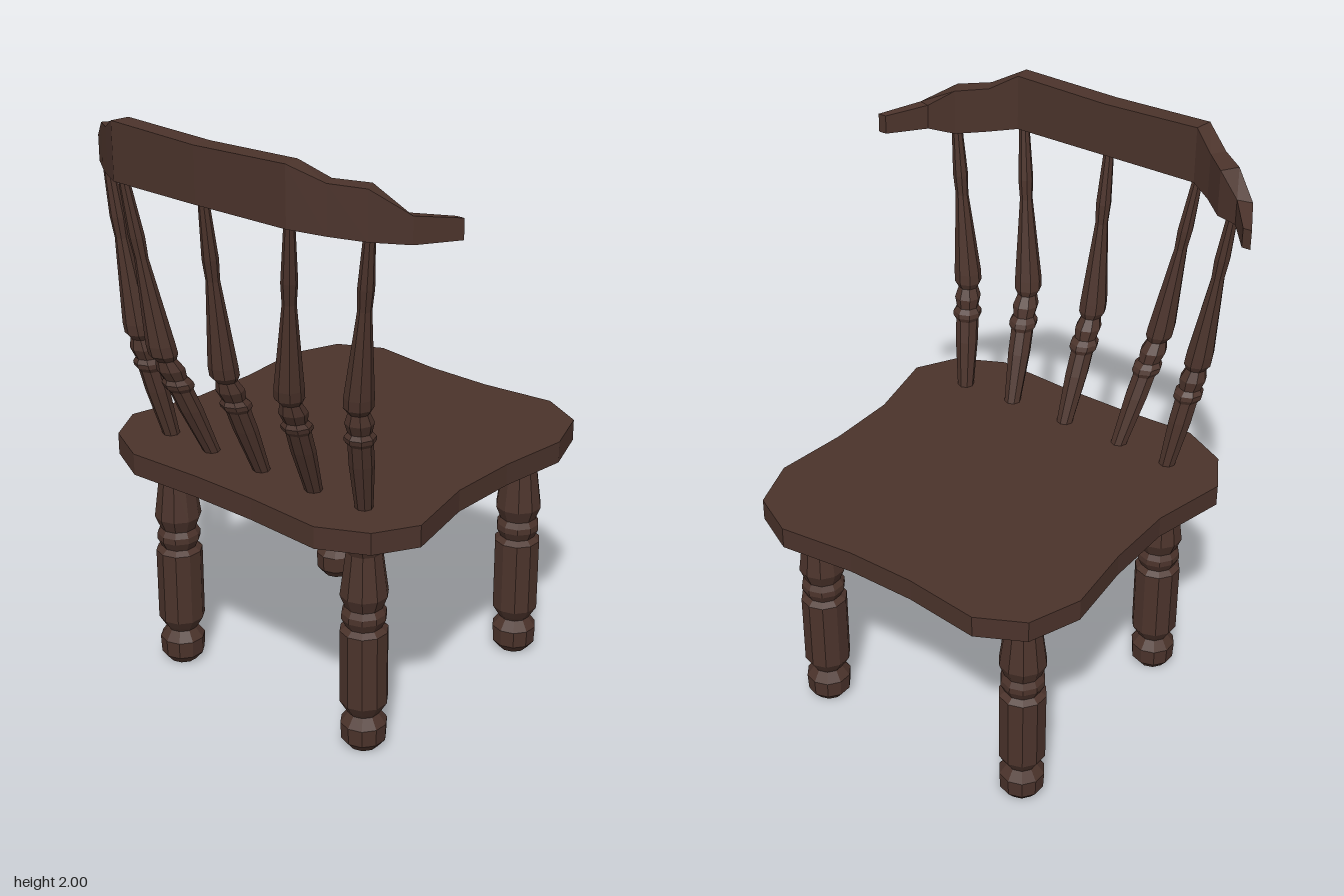
import * as THREE from 'three';

const wood = new THREE.MeshStandardMaterial({ color: 0x4b332b, flatShading: true });
wood.name = 'dark wood';
const AXIS = -0.025; // centre line of seat, legs and spindles

function part(name, geometry) {
  const mesh = new THREE.Mesh(geometry, wood);
  mesh.name = name;
  return mesh;
}

// Turned piece from [radius, y] pairs
const turned = (profile, sides) =>
  new THREE.LatheGeometry(profile.map(([r, y]) => new THREE.Vector2(r, y)), sides);

// Scalloped seat slab, half outline mirrored about the centre line
function seat() {
  const half = [[0.12, -0.63], [0.38, -0.66], [0.535, -0.58], [0.602, -0.40], [0.575, -0.145],
    [0.575, 0.105], [0.635, 0.37], [0.555, 0.51], [0.395, 0.59], [0.12, 0.575]];
  const outline = [...half, ...half.slice().reverse().map(([x, z]) => [-x, z])];
  const shape = new THREE.Shape(outline.map(([x, z]) => new THREE.Vector2(x + AXIS, z)));
  const geo = new THREE.ExtrudeGeometry(shape, { depth: 0.075, bevelEnabled: false });
  geo.rotateX(Math.PI / 2).translate(0, 0.865, 0);
  return part('seat', geo);
}

// Turned leg
const LEG = [[0, 0], [0.05, 0], [0.075, 0.03], [0.078, 0.09], [0.052, 0.125], [0.062, 0.14],
  [0.08, 0.17], [0.08, 0.43], [0.06, 0.445], [0.075, 0.475], [0.074, 0.495], [0.062, 0.515],
  [0.08, 0.56], [0.06, 0.71], [0.085, 0.77], [0.085, 0.795]];

// Turned back spindle
const SPINDLE = [[0.028, 0.85], [0.04, 1.03], [0.04, 1.105], [0.05, 1.12], [0.05, 1.135],
  [0.038, 1.15], [0.046, 1.185], [0.034, 1.22], [0.047, 1.24], [0.047, 1.275],
  [0.022, 1.56], [0.026, 1.63], [0.017, 1.82]];

// Spindle sheared from its foot to its head, with a bend above the bead
function spindle(x0, z0, x1, z1) {
  const geo = turned(SPINDLE, 8);
  const p = geo.attributes.position;
  for (let i = 0; i < p.count; i++) {
    const t = (p.getY(i) - 0.865) / 0.935;
    const bend = t < 0.41 ? t * 1.75 : 0.7175 + (t - 0.41) * 0.479;
    p.setX(i, p.getX(i) + x0 + (x1 - x0) * t);
    p.setZ(i, p.getZ(i) + z0 + (z1 - z0) * bend);
  }
  geo.computeVertexNormals();
  return part('backSpindle', geo);
}

// Curved top rail: outer x, z, inner x, z, bottom y, top y
function topRail() {
  const sections = [
    [-0.72, 0.338, -0.69, 0.338, 1.785, 1.85],
    [-0.65, 0.466, -0.60, 0.455, 1.785, 1.87],
    [-0.56, 0.53, -0.525, 0.475, 1.785, 1.94],
    [-0.48, 0.585, -0.45, 0.54, 1.795, 1.95],
    [-0.38, 0.65, -0.37, 0.587, 1.81, 2.0],
    [-0.025, 0.655, -0.025, 0.587, 1.81, 1.99],
    [0.33, 0.65, 0.32, 0.587, 1.81, 2.0],
    [0.43, 0.59, 0.405, 0.54, 1.795, 1.95],
    [0.53, 0.53, 0.50, 0.475, 1.785, 1.94],
    [0.64, 0.466, 0.60, 0.455, 1.785, 1.87],
    [0.72, 0.338, 0.69, 0.338, 1.785, 1.85],
  ];
  const pos = [], idx = [];
  for (const [xo, zo, xi, zi, yb, yt] of sections)
    pos.push(xo, yb, zo, xi, yb, zi, xi, yt, zi, xo, yt, zo);
  const last = (sections.length - 1) * 4;
  for (let s = 0; s < last; s += 4) {
    for (let k = 0; k < 4; k++) {
      const a = s + k, b = s + (k + 1) % 4;
      idx.push(a, b, b + 4, a, b + 4, a + 4);
    }
  }
  idx.push(0, 2, 1, 0, 3, 2, last, last + 1, last + 2, last, last + 2, last + 3);
  const indexed = new THREE.BufferGeometry();
  indexed.setAttribute('position', new THREE.Float32BufferAttribute(pos, 3));
  indexed.setIndex(idx);
  const geo = indexed.toNonIndexed();
  geo.computeVertexNormals();
  return part('topRail', geo);
}

export function createModel() {
  const chair = new THREE.Group();
  chair.name = 'chair';
  chair.add(seat(), topRail());

  for (const side of [-1, 1]) {
    for (const z of [0.38, -0.44]) {
      const leg = part(z > 0 ? 'frontLeg' : 'rearLeg', turned(LEG, 10));
      leg.position.set(AXIS + side * 0.418, 0, z);
      chair.add(leg);
    }
    // Inner and outer spindles lean outwards
    chair.add(spindle(AXIS + side * 0.225, 0.40, AXIS + side * 0.34, 0.62));
    chair.add(spindle(AXIS + side * 0.425, 0.39, AXIS + side * 0.54, 0.505));
  }
  chair.add(spindle(AXIS, 0.40, AXIS, 0.62));
  return chair;
}
